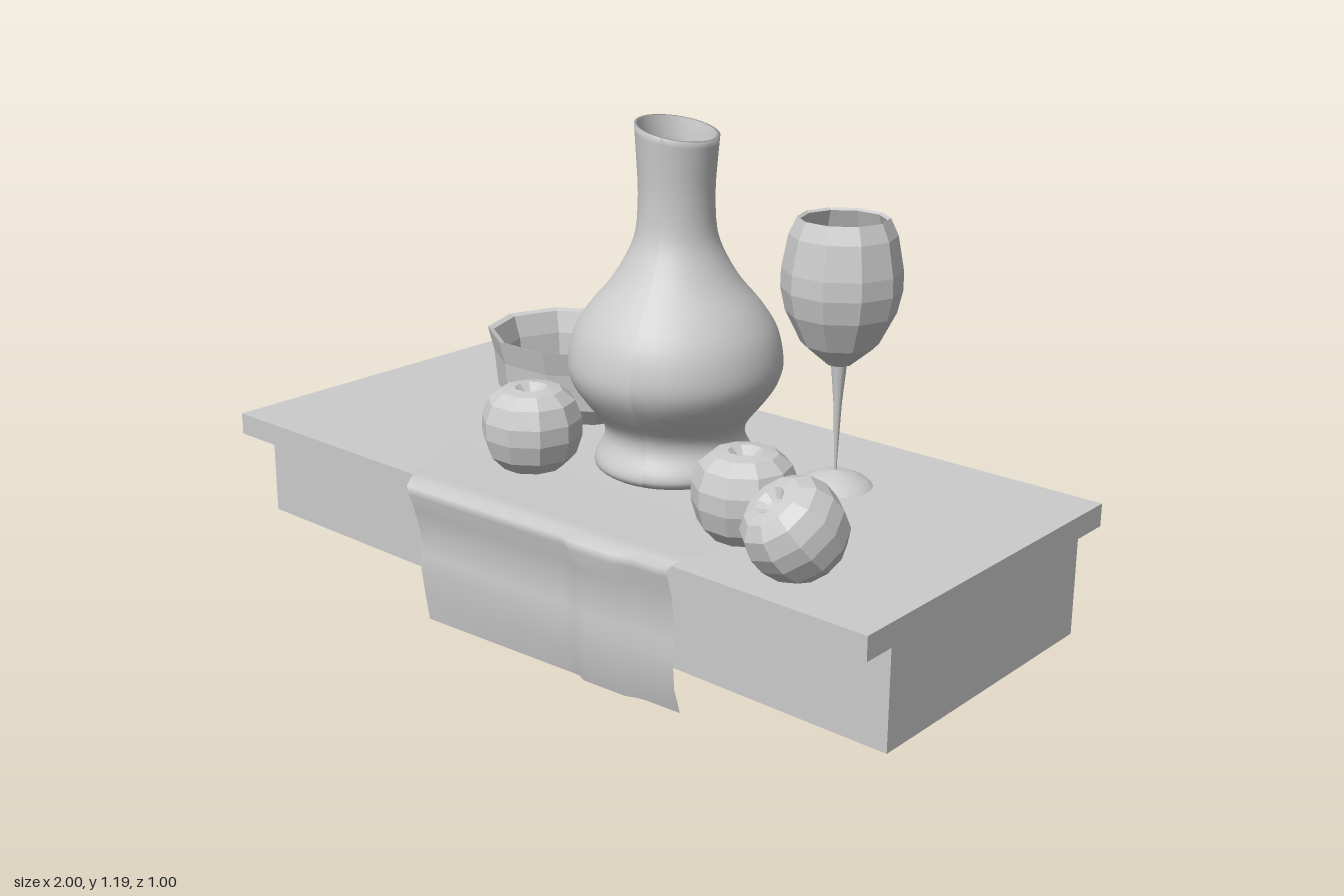
import * as THREE from 'three';

const smooth = new THREE.MeshStandardMaterial({ color: 0xcccccc, side: THREE.DoubleSide });
const faceted = new THREE.MeshStandardMaterial({ color: 0xcccccc, side: THREE.DoubleSide, flatShading: true });

function add(parent, name, geometry, material, x = 0, y = 0, z = 0) {
  const mesh = new THREE.Mesh(geometry, material);
  mesh.name = name;
  mesh.position.set(x, y, z);
  parent.add(mesh);
  return mesh;
}

// Turned shape from [radius, height] pairs, listed from the bottom outside up and back in
function turned(points, sides) {
  return new THREE.LatheGeometry(points.map(([r, y]) => new THREE.Vector2(r, y)), sides, Math.PI / 10);
}

function box(x0, x1, y0, y1, z0, z1) {
  return new THREE.BoxGeometry(x1 - x0, y1 - y0, z1 - z0)
    .translate((x0 + x1) / 2, (y0 + y1) / 2, (z0 + z1) / 2);
}

// Vase: smooth body with a slanted mouth and a hollow neck
function vaseGeometry() {
  const outline = [[0.17, 0.36], [0.19, 0.375], [0.188, 0.4], [0.168, 0.44], [0.172, 0.48], [0.21, 0.53],
    [0.243, 0.58], [0.254, 0.63], [0.24, 0.7], [0.205, 0.76], [0.155, 0.82], [0.118, 0.88], [0.095, 0.94],
    [0.089, 1.03], [0.093, 1.11], [0.098, 1.18]];
  const curve = new THREE.SplineCurve(outline.map(([r, y]) => new THREE.Vector2(r, y)));
  const points = curve.getPoints(45).map(p => [p.x, p.y]);
  points.push([0.09, 1.18], [0.082, 1.1], [0.08, 1.0], [0.1, 0.9], [0, 0.88]);
  const g = turned(points, 40);
  const p = g.attributes.position;
  for (let i = 0; i < p.count; i++) {
    const lift = Math.max(0, (p.getY(i) - 1.06) / 0.12);
    p.setY(i, p.getY(i) - p.getX(i) * 0.2 * lift);
  }
  g.computeVertexNormals();
  return g;
}

// Cloth: rows of [left x, left z, right x, right z, y] from the back edge, over the table edge, to the hem
function clothGeometry() {
  const rows = [
    [-0.63, -0.08, 0.5, -0.2, 0.358], [-0.61, 0.0, 0.56, -0.06, 0.359], [-0.52, 0.14, 0.56, 0.06, 0.36],
    [-0.4, 0.26, 0.54, 0.22, 0.361], [-0.33, 0.38, 0.53, 0.34, 0.363], [-0.3, 0.44, 0.52, 0.41, 0.368],
    [-0.28, 0.475, 0.515, 0.445, 0.367], [-0.27, 0.497, 0.51, 0.46, 0.355], [-0.265, 0.497, 0.51, 0.458, 0.335],
    [-0.262, 0.483, 0.51, 0.445, 0.29], [-0.26, 0.468, 0.51, 0.437, 0.23], [-0.258, 0.472, 0.51, 0.437, 0.18],
    [-0.256, 0.474, 0.51, 0.44, 0.14], [-0.253, 0.466, 0.51, 0.435, 0.07], [-0.25, 0.458, 0.51, 0.415, 0.005]];
  const columns = 32, position = [], index = [];
  rows.forEach(([xl, zl, xr, zr, y], j) => {
    const hang = Math.min(1, Math.max(0, (j - 5) / 3));
    for (let i = 0; i <= columns; i++) {
      const u = i / columns;
      // one raised pleat towards the right end of the hanging part
      const pleat = THREE.MathUtils.smoothstep(u, 0.62, 0.66) * (1 - THREE.MathUtils.smoothstep(u, 0.82, 0.86));
      position.push(xl + (xr - xl) * u, y, zl + (zr - zl) * u + hang * 0.013 * pleat);
      if (j && i) {
        const d = j * (columns + 1) + i, b = d - columns - 1;
        index.push(b - 1, d - 1, b, b, d - 1, d);
      }
    }
  });
  const g = new THREE.BufferGeometry();
  g.setAttribute('position', new THREE.Float32BufferAttribute(position, 3));
  g.setIndex(index);
  g.computeVertexNormals();
  return g;
}

export function createModel() {
  const model = new THREE.Group();
  model.name = 'stillLife';

  // Table
  const table = new THREE.Group();
  table.name = 'table';
  model.add(table);
  add(table, 'tableTop', box(-1, 1, 0.297, 0.353, -0.5, 0.433), smooth);
  add(table, 'tableBase', box(-0.987, 0.998, 0.06, 0.31, -0.4, 0.345), smooth);

  add(model, 'cloth', clothGeometry(), smooth);
  add(model, 'vase', vaseGeometry(), smooth, 0.113, 0, -0.025).scale.z = 1.03;

  // Bowl: oval, ten-sided, with a flared rim
  const bowl = turned([[0, 0.357], [0.185, 0.357], [0.225, 0.405], [0.235, 0.5], [0.252, 0.562],
    [0.235, 0.557], [0.215, 0.5], [0.205, 0.41], [0.175, 0.366], [0, 0.366]], 10);
  add(model, 'bowl', bowl, faceted, -0.385, 0, -0.205).scale.z = 0.87;

  // Wine glass: low foot, stem tapering downwards, hollow cup
  const glass = new THREE.Group();
  glass.name = 'wineGlass';
  glass.position.set(0.475, 0, -0.183);
  model.add(glass);
  add(glass, 'foot', turned([[0.09, 0.356], [0.075, 0.37], [0.04, 0.386], [0, 0.393]], 20), smooth);
  add(glass, 'stem', turned([[0.003, 0.385], [0.004, 0.43], [0.01, 0.56], [0.019, 0.66]], 10), smooth);
  add(glass, 'cup', turned([[0, 0.65], [0.03, 0.655], [0.09, 0.705], [0.128, 0.78], [0.14, 0.835], [0.139, 0.88],
    [0.124, 0.96], [0.105, 1.0], [0.098, 0.995], [0.114, 0.95], [0.125, 0.85], [0.08, 0.74], [0, 0.69]], 10), faceted);

  // Fruit: ten-sided with a dimple at the top and bottom
  const fruit = turned([[0, -0.08], [0.035, -0.098], [0.075, -0.093], [0.107, -0.06], [0.122, -0.012], [0.122, 0.03],
    [0.106, 0.073], [0.075, 0.098], [0.04, 0.103], [0.02, 0.085], [0, 0.08]], 10);
  add(model, 'fruitLeft', fruit, faceted, -0.138, 0.457, 0.21);
  add(model, 'fruitMiddle', fruit, faceted, 0.517, 0.455, 0.212).scale.set(0.97, 1, 0.97);
  const tilted = add(model, 'fruitRight', fruit, faceted, 0.727, 0.458, 0.305);
  tilted.rotation.set(0.6, 0, 0.35);
  tilted.scale.setScalar(0.92);

  return model;
}
